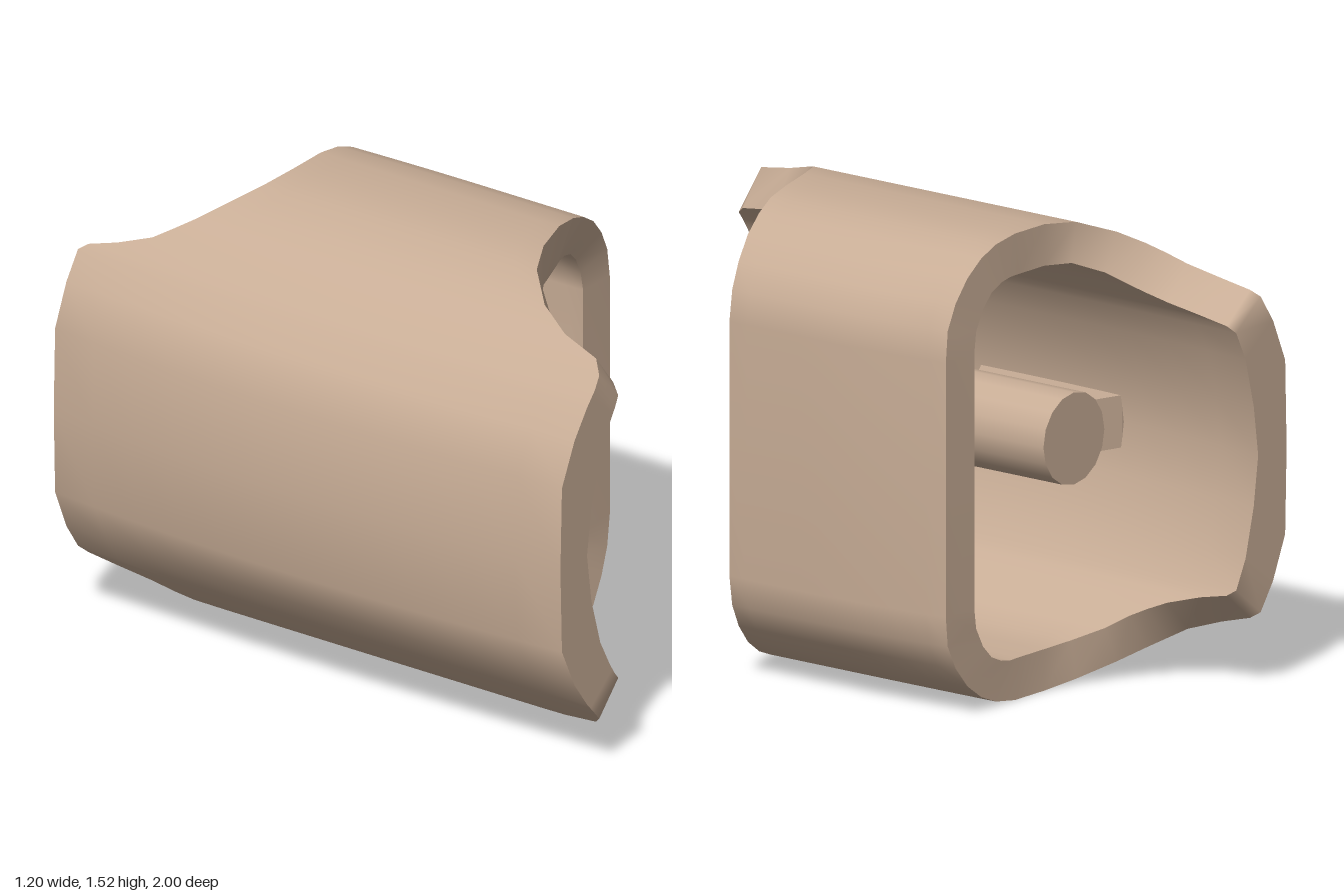
import * as THREE from 'three';

const MID_Y = 0.757;

// Upper half of the sleeve, right wall to left wall:
// outer x, outer y, inner x, inner y, front end z, back end z
const HALF = [
  [0.6, 0.757, 0.46, 0.757, 0.33, -0.52],
  [0.6, 1.17, 0.46, 1.17, 0.33, -0.52],
  [0.58, 1.27, 0.44, 1.24, 0.335, -0.515],
  [0.53, 1.35, 0.395, 1.305, 0.35, -0.513],
  [0.46, 1.42, 0.34, 1.35, 0.37, -0.511],
  [0.38, 1.47, 0.28, 1.372, 0.39, -0.508],
  [0.3, 1.5, 0.23, 1.38, 0.41, -0.506],
  [0.2, 1.515, 0.18, 1.38, 0.43, -0.503],
  [0.05, 1.515, 0.05, 1.38, 0.48, -0.5],
  [-0.08, 1.5, -0.06, 1.37, 0.55, -0.52],
  [-0.2, 1.455, -0.14, 1.335, 0.67, -0.59],
  [-0.27, 1.415, -0.19, 1.295, 0.8, -0.65],
  [-0.31, 1.385, -0.22, 1.27, 0.95, -0.7],
  [-0.35, 1.35, -0.25, 1.245, 0.99, -0.76],
  [-0.39, 1.315, -0.285, 1.215, 1, -0.87],
  [-0.415, 1.29, -0.3, 1.195, 1, -0.97],
  [-0.435, 1.27, -0.315, 1.175, 1, -1],
  [-0.51, 1.18, -0.375, 1.08, 1, -1],
  [-0.59, 1.04, -0.435, 0.92, 1, -1],
  [-0.6, 0.757, -0.46, 0.757, 1, -1],
];

// Close the section by mirroring it below the mid height
const LOOP = [
  ...HALF,
  ...HALF.slice(1, -1).reverse().map(([ox, oy, ix, iy, f, b]) =>
    [ox, 2 * MID_Y - oy, ix, 2 * MID_Y - iy, f, b]),
];

// The side walls bow gently inward towards the ends
function bow(p, outerX) {
  const w = Math.abs(outerX / 0.6) ** 3;
  if (outerX < 0) p.x += w * (p.z > 0 ? 0.04 : 0.06) * p.z * p.z;
  else if (p.z < 0) p.x -= w * 0.15 * p.z * p.z;
  return p;
}

// Smooth closed band between two rails around the section
function band(railA, railB, steps) {
  const pos = [], index = [], n = LOOP.length;
  for (let k = 0; k <= steps; k++) {
    for (const row of LOOP) {
      const p = bow(railA(row).lerp(railB(row), k / steps), row[0]);
      pos.push(p.x, p.y, p.z);
    }
  }
  for (let k = 0; k < steps; k++) {
    for (let i = 0; i < n; i++) {
      const a = k * n + i, b = k * n + (i + 1) % n;
      index.push(a, b, b + n, a, b + n, a + n);
    }
  }
  const g = new THREE.BufferGeometry();
  g.setAttribute('position', new THREE.Float32BufferAttribute(pos, 3));
  g.setIndex(index);
  g.computeVertexNormals();
  return g;
}

export function createModel() {
  const model = new THREE.Group();
  model.name = 'sleeve with inner rod';
  const material = new THREE.MeshStandardMaterial({ color: 0xc8ad96 });
  const add = (parent, name, geometry) => {
    const mesh = new THREE.Mesh(geometry, material);
    mesh.name = name;
    parent.add(mesh);
    return mesh;
  };

  // Sleeve: outer wall, front rim, inner wall and back rim follow on around the wall
  const sleeve = new THREE.Group();
  sleeve.name = 'sleeve';
  model.add(sleeve);
  const outerBack = r => new THREE.Vector3(r[0], r[1], r[5]);
  const outerFront = r => new THREE.Vector3(r[0], r[1], r[4]);
  const innerFront = r => new THREE.Vector3(r[2], r[3], r[4]);
  const innerBack = r => new THREE.Vector3(r[2], r[3], r[5]);
  add(sleeve, 'outerWall', band(outerBack, outerFront, 12));
  add(sleeve, 'frontRim', band(outerFront, innerFront, 1));
  add(sleeve, 'innerWall', band(innerFront, innerBack, 12));
  add(sleeve, 'backRim', band(innerBack, outerBack, 1));

  // Rod running front to back
  const rod = add(model, 'rod', new THREE.CylinderGeometry(0.15, 0.15, 0.56, 16));
  rod.rotation.x = Math.PI / 2;
  rod.position.set(-0.18, 0.76, -0.15);

  // Web joining the rod to the left wall, drawn in plan and narrowed at its neck
  const plan = new THREE.Shape([
    [-0.5, 0.17], [-0.44, 0.165], [-0.34, 0.1], [-0.26, 0.12],
    [-0.26, -0.41], [-0.34, -0.38], [-0.44, -0.41], [-0.5, -0.415],
  ].map(([x, z]) => new THREE.Vector2(x, -z)));
  const web = add(model, 'web',
    new THREE.ExtrudeGeometry(plan, { depth: 0.17, bevelEnabled: false }));
  web.rotation.x = -Math.PI / 2;
  web.position.y = 0.675;

  return model;
}
